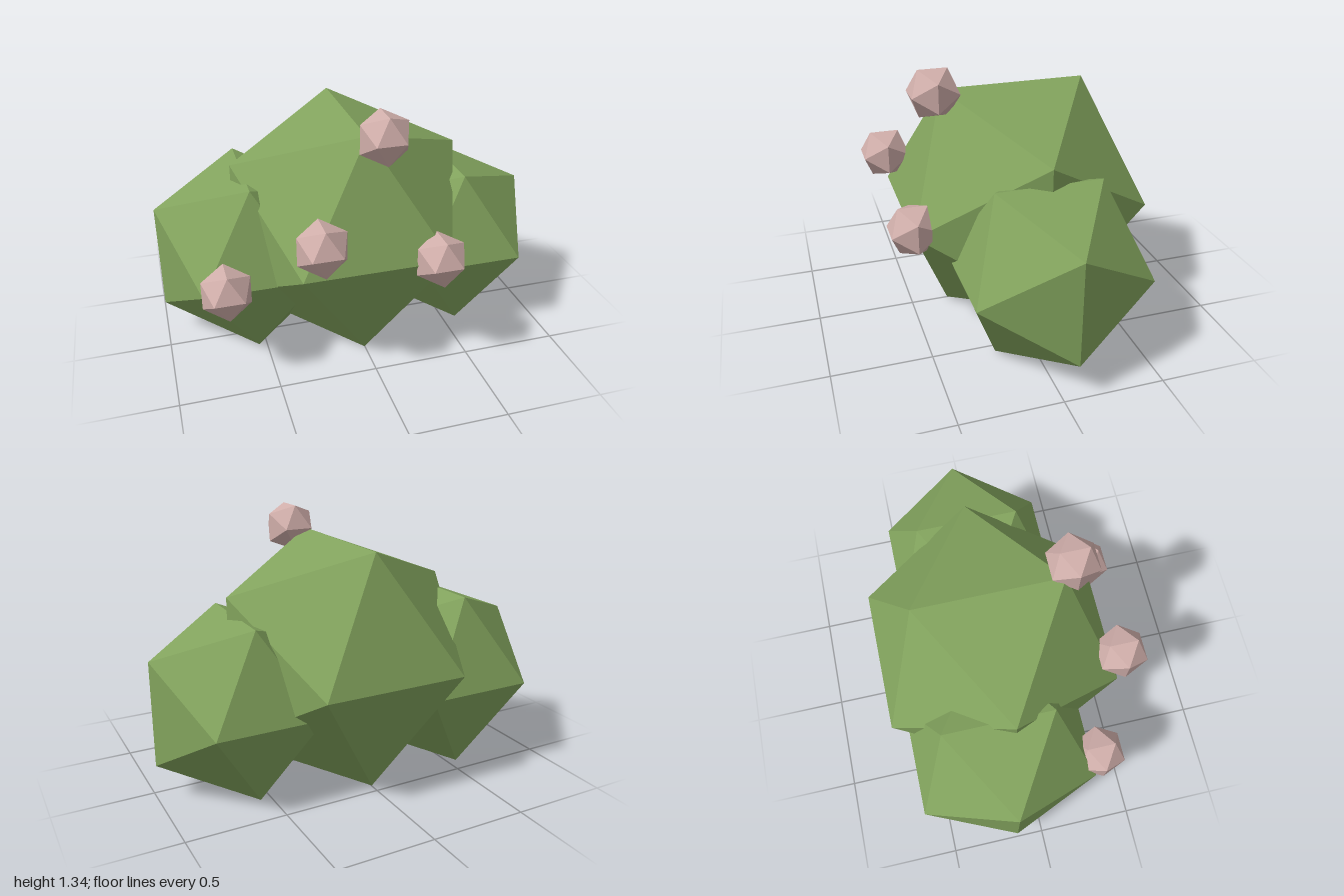
import * as THREE from 'three';

export function createModel() {
  const group = new THREE.Group();
  const leafGreen = new THREE.MeshStandardMaterial({ color: 0x82a35d });
  leafGreen.name = 'leafGreen';
  const blossomPink = new THREE.MeshStandardMaterial({ color: 0xd0aeaa });
  blossomPink.name = 'blossomPink';
  leafGreen.flatShading = blossomPink.flatShading = true;

  // A faceted ball, turned so that its top edge runs front to back
  function addBall(name, material, radius, x, y, z) {
    const geometry = new THREE.IcosahedronGeometry(radius, 0).rotateY(Math.PI / 2);
    const mesh = new THREE.Mesh(geometry, material);
    mesh.name = name;
    mesh.position.set(x, y, z);
    group.add(mesh);
  }

  // Three overlapping clumps of foliage
  addBall('middleFoliage', leafGreen, 0.711, -0.002, 0.605, -0.07);
  addBall('leftFoliage', leafGreen, 0.51, 0.565, 0.45, -0.07);
  addBall('rightFoliage', leafGreen, 0.537, -0.543, 0.465, -0.143);

  // Small blossoms on the front
  const blossoms = [
    [0.067, 1.217, 0.355],
    [-0.288, 0.79, 0.553],
    [0.31, 0.622, 0.527],
    [-0.715, 0.507, 0.355],
  ];
  blossoms.forEach(([x, y, z], i) => addBall(`blossom${i + 1}`, blossomPink, 0.14, x, y, z));

  return group;
}
